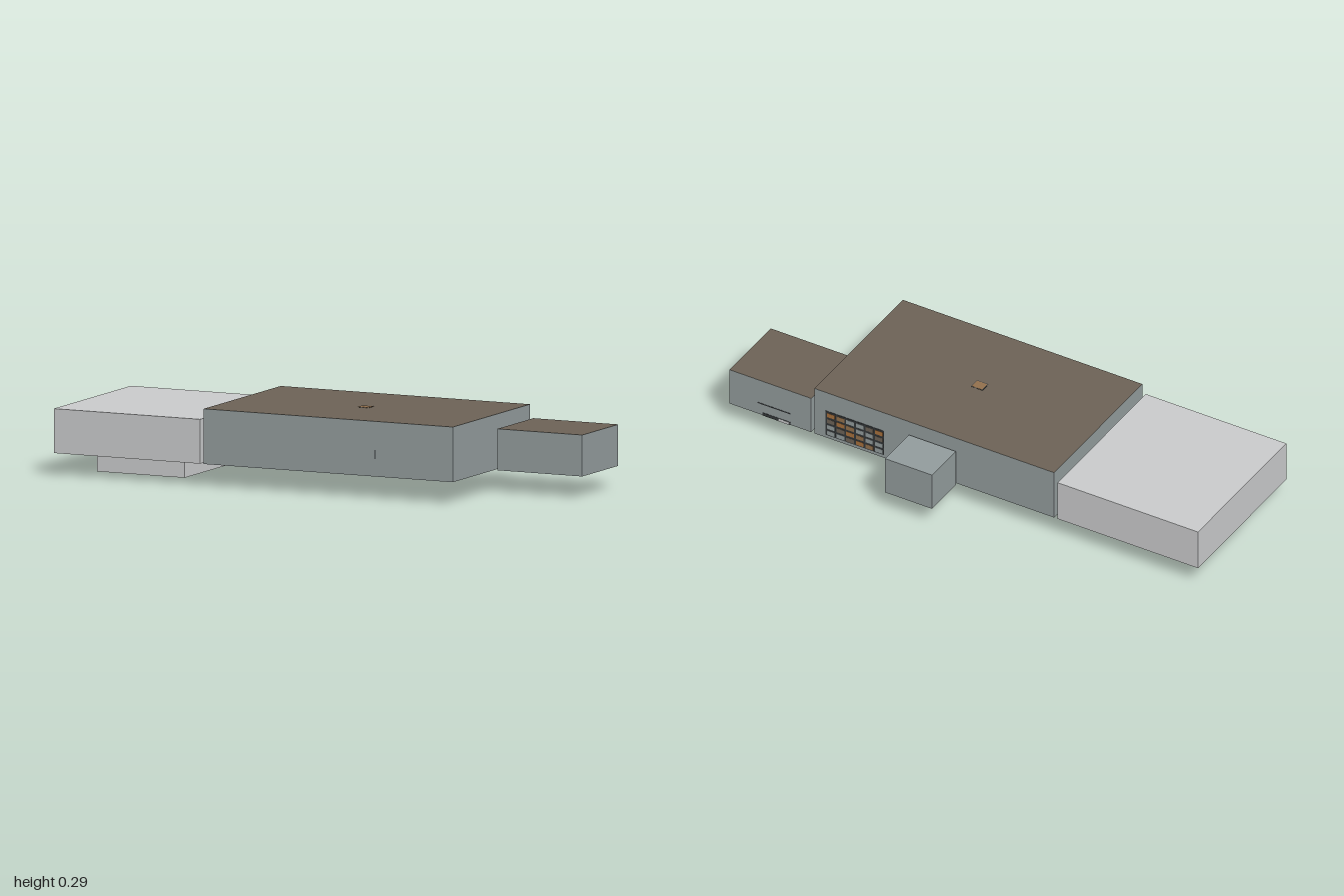
import * as THREE from 'three';

const mat = (name, color) => {
  const m = new THREE.MeshStandardMaterial({ color });
  m.name = name;
  return m;
};

export function createModel() {
  const model = new THREE.Group();
  model.name = 'bunker';
  const wall = mat('wall grey', 0x929b9c);
  const pale = mat('pale concrete', 0xc9cacb);
  const brown = mat('brown boards', 0x6c6256);
  const wood = mat('light wood', 0x92704c);
  const dark = mat('dark metal', 0x35383a);
  const rust = mat('orange wood', 0xa8703c);

  // Box from its lower and upper limits on each axis
  const block = (name, material, [x0, x1], [y0, y1], [z0, z1], parent = model) => {
    const mesh = new THREE.Mesh(new THREE.BoxGeometry(x1 - x0, y1 - y0, z1 - z0), material);
    mesh.position.set((x0 + x1) / 2, (y0 + y1) / 2, (z0 + z1) / 2);
    mesh.name = name;
    parent.add(mesh);
    return mesh;
  };

  // Rooms: grey walls with brown roof and floor, or one colour throughout
  const boarded = [wall, wall, brown, brown, wall, wall];
  block('mainHall', boarded, [-0.385, 0.638], [0.1, 0.305], [-0.228, 0.409]);
  block('sideRoom', boarded, [0.652, 1], [0.1, 0.254], [-0.228, 0.069]);
  block('backRoom', wall, [0.028, 0.228], [0.1, 0.254], [-0.41, -0.239]);
  block('paleRoom', pale, [-1, -0.4], [0.1, 0.265], [-0.228, 0.409]);

  // Short passages between the rooms
  block('palePassage', pale, [-0.4, -0.385], [0.1, 0.223], [0.05, 0.15]);
  block('sidePassage', wall, [0.638, 0.652], [0.1, 0.215], [-0.13, -0.07]);
  block('backPassage', boarded, [0.043, 0.213], [0.1, 0.232], [-0.239, -0.228]);

  // Sunken pit under the pale room, with a flight of steps along its front wall
  block('pit', pale, [-0.9, -0.54], [0.018, 0.1], [-0.105, 0.255]);
  const steps = new THREE.Group();
  steps.name = 'pitSteps';
  model.add(steps);
  for (let i = 0; i < 6; i++) {
    const x = -0.54 - i * 0.016, y = 0.1 - i * 0.0137;
    block('step', pale, [x - 0.016, x + 0.0005], [y - 0.0137, y], [0.185, 0.2555], steps);
  }

  // Roof hatch and the thin handle on the front wall
  block('roofHatchFrame', dark, [0.1, 0.15], [0.303, 0.3055], [0.075, 0.12]);
  block('roofHatch', wood, [0.103, 0.147], [0.303, 0.306], [0.078, 0.117]);
  block('frontHandle', dark, [0.316, 0.321], [0.165, 0.198], [0.407, 0.41]);

  // Latticed shelf panel on the back wall of the hall
  const shelf = new THREE.Group();
  shelf.name = 'shelfPanel';
  model.add(shelf);
  block('shelfBacking', dark, [0.34, 0.59], [0.113, 0.222], [-0.2295, -0.227], shelf);
  const fills = [wall, brown, wood, wall, rust];
  for (let c = 0; c < 6; c++) {
    for (let r = 0; r < 4; r++) {
      const x = 0.345 + c * 0.041, y = 0.117 + r * 0.0265;
      block('shelfItem', fills[(c * 2 + r * 3) % 5], [x, x + 0.033], [y, y + 0.018], [-0.2305, -0.227], shelf);
    }
  }

  // Slot and low vent on the back wall of the side room
  block('wallSlot', dark, [0.74, 0.88], [0.148, 0.152], [-0.229, -0.227]);
  block('lowVent', dark, [0.74, 0.86], [0.099, 0.112], [-0.229, -0.21]);
  block('lowVentLight', pale, [0.745, 0.79], [0.0985, 0.11], [-0.2295, -0.212]);

  // Small plates set into the floors
  const floorPlates = [
    [0.44, 0.19, 0.03, 0.025, wood],
    [0.3, -0.055, 0.055, 0.022, wood],
    [-0.225, -0.03, 0.035, 0.03, wood],
    [0.12, 0.1, 0.022, 0.02, dark],
    [0.01, 0.233, 0.035, 0.015, wood],
    [-0.95, -0.17, 0.02, 0.015, wall],
  ];
  for (const [x, z, w, d, m] of floorPlates) {
    block('floorPlateRim', dark, [x - w, x + w], [0.099, 0.102], [z - d, z + d]);
    block('floorPlate', m, [x - w * 0.8, x + w * 0.8], [0.0985, 0.102], [z - d * 0.75, z + d * 0.75]);
  }
  return model;
}
